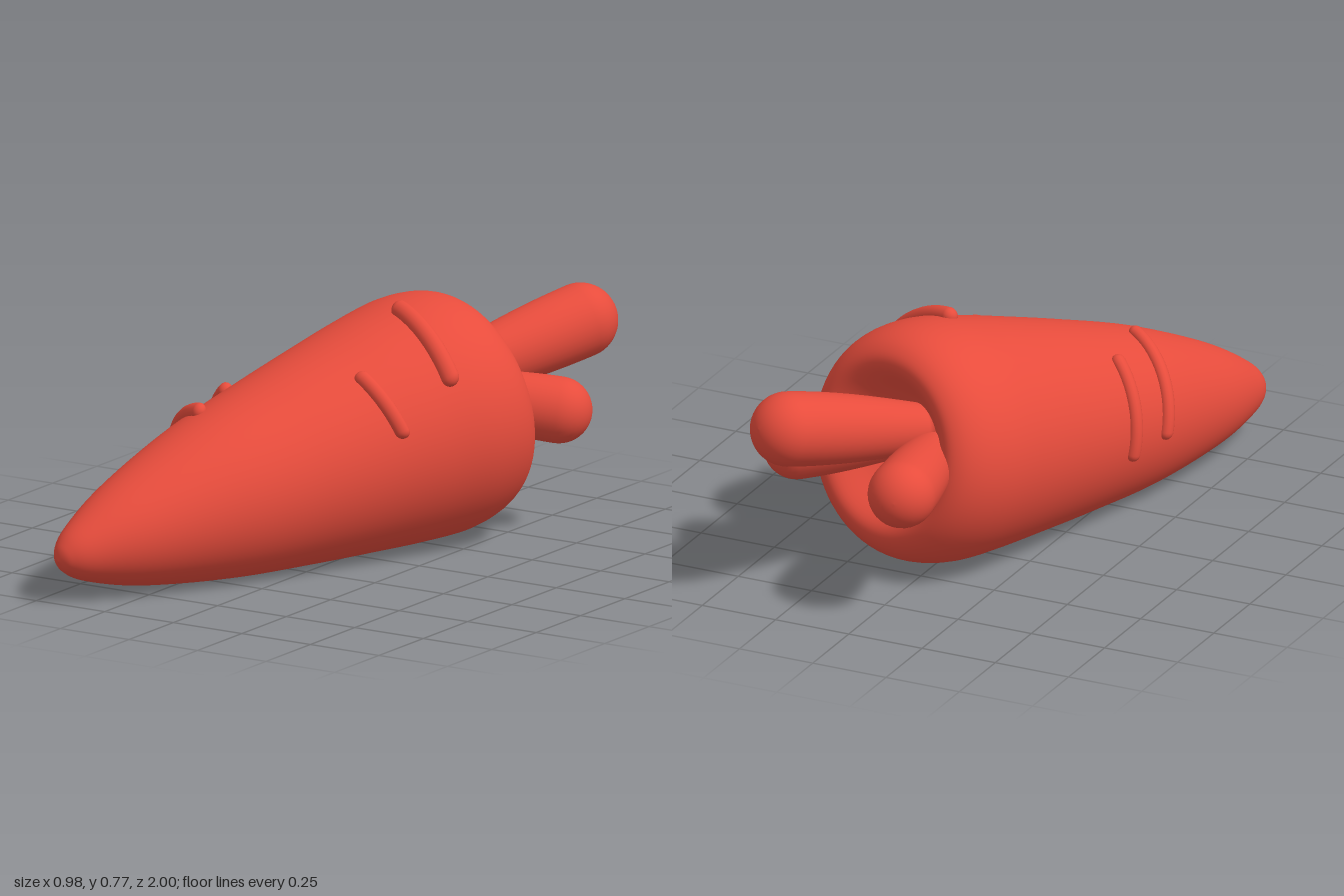
import * as THREE from 'three';
import { mergeVertices } from 'three/addons/utils/BufferGeometryUtils.js';

const material = new THREE.MeshStandardMaterial({ color: 0xe74c3c });

// Root frame: local y runs from crown to tip, local -z is the upper side.
const axis = new THREE.Vector3(-0.325, -0.17, 0.926).normalize();
const side = new THREE.Vector3(0.944, 0, 0.331).normalize();
const rootFrame = new THREE.Matrix4()
  .makeBasis(side, axis, side.clone().cross(axis))
  .setPosition(-0.061, 0.327, -0.021);

// Root profile [radius, distance along axis], from the hollow crown over the rim to the tip.
const profile = new THREE.SplineCurve([
  [0, -0.39], [0.08, -0.405], [0.16, -0.46], [0.25, -0.535], [0.315, -0.522],
  [0.362, -0.45], [0.38, -0.33], [0.366, -0.17], [0.342, 0], [0.305, 0.24],
  [0.253, 0.53], [0.17, 0.83], [0.095, 1.01], [0.045, 1.08], [0, 1.1],
].map(([r, u]) => new THREE.Vector2(r, u))).getPoints(110);
profile.forEach((p) => { p.x = Math.max(p.x, 0); });

// Outer radius of the root at distance u.
function radiusAt(u) {
  const i = profile.findIndex((p, k) => p.x > 0.05 && k > 45 && p.y >= u);
  const a = profile[i - 1], b = profile[i];
  return THREE.MathUtils.mapLinear(u, a.y, b.y, a.x, b.x);
}

// Moves every vertex by a rule, then makes the normals smooth across seams.
function reshape(geometry, rule) {
  const pos = geometry.attributes.position;
  const v = new THREE.Vector3();
  for (let i = 0; i < pos.count; i++) {
    rule(v.fromBufferAttribute(pos, i));
    pos.setXYZ(i, v.x, v.y, v.z);
  }
  geometry.deleteAttribute('uv');
  geometry.deleteAttribute('normal');
  const merged = mergeVertices(geometry, 1e-5);
  merged.computeVertexNormals();
  return merged;
}

function addMesh(group, name, geometry) {
  const mesh = new THREE.Mesh(geometry, material);
  mesh.name = name;
  group.add(mesh);
  return mesh;
}

// Ridge wrapped round the root between two angles (degrees from the top).
function ridgeGeometry([u0, a0], [u1, a1], thickness) {
  const from = THREE.MathUtils.degToRad(a0), to = THREE.MathUtils.degToRad(a1);
  const r = radiusAt((u0 + u1) / 2);
  const length = (to - from) * r;
  const capsule = new THREE.CapsuleGeometry(thickness, length - 2 * thickness, 8, 16, 24);
  return reshape(capsule, (v) => {
    const t = v.y / length + 0.5;
    const a = THREE.MathUtils.lerp(from, to, t);
    const u = THREE.MathUtils.lerp(u0, u1, t) - v.z;
    const R = radiusAt(u) + v.x;
    v.set(R * Math.sin(a), u, -R * Math.cos(a)).applyMatrix4(rootFrame);
  });
}

// Stem that swells from a narrow base to a round end.
function addStem(group, name, base, end, baseRadius, endRadius) {
  const a = new THREE.Vector3(...base), b = new THREE.Vector3(...end);
  const length = a.distanceTo(b);
  const points = [new THREE.Vector2(0, 0)];
  for (let i = 0; i <= 14; i++) {
    const t = i / 14;
    const r = THREE.MathUtils.lerp(baseRadius, endRadius, Math.sin(t * Math.PI / 2));
    points.push(new THREE.Vector2(r, t * length));
  }
  for (let i = 1; i <= 12; i++) {
    const q = (i / 12) * Math.PI / 2;
    points.push(new THREE.Vector2(
      i === 12 ? 0 : endRadius * Math.cos(q), length + endRadius * Math.sin(q)));
  }
  const mesh = addMesh(group, name, new THREE.LatheGeometry(points, 32));
  mesh.position.copy(a);
  mesh.quaternion.setFromUnitVectors(new THREE.Vector3(0, 1, 0), b.sub(a).normalize());
}

export function createModel() {
  const model = new THREE.Group();
  model.name = 'carrot';

  // Root, settled softly onto the ground
  addMesh(model, 'root', reshape(new THREE.LatheGeometry(profile, 72), (v) => {
    v.applyMatrix4(rootFrame);
    v.y = (v.y + Math.hypot(v.y, 0.02)) / 2 - 0.002;
  }));

  // Ridges on both flanks
  [
    ['leftRearRidge', [-0.275, 3], [-0.235, 59], 0.029],
    ['leftFrontRidge', [0.015, 32], [-0.02, 74], 0.023],
    ['rightRearRidge', [0.25, -100], [0.25, -35], 0.025],
    ['rightFrontRidge', [0.41, -92], [0.455, -8], 0.025],
  ].forEach(([name, from, to, thickness]) => {
    addMesh(model, name, ridgeGeometry(from, to, thickness));
  });

  // Stems fanning out of the crown
  addStem(model, 'middleStem', [0.03, 0.46, -0.42], [0.265, 0.592, -0.885], 0.075, 0.116);
  addStem(model, 'leftStem', [0.08, 0.44, -0.41], [0.387, 0.392, -0.575], 0.075, 0.103);
  addStem(model, 'rightStem', [-0.01, 0.39, -0.41], [-0.1, 0.425, -0.833], 0.075, 0.106);

  return model;
}
